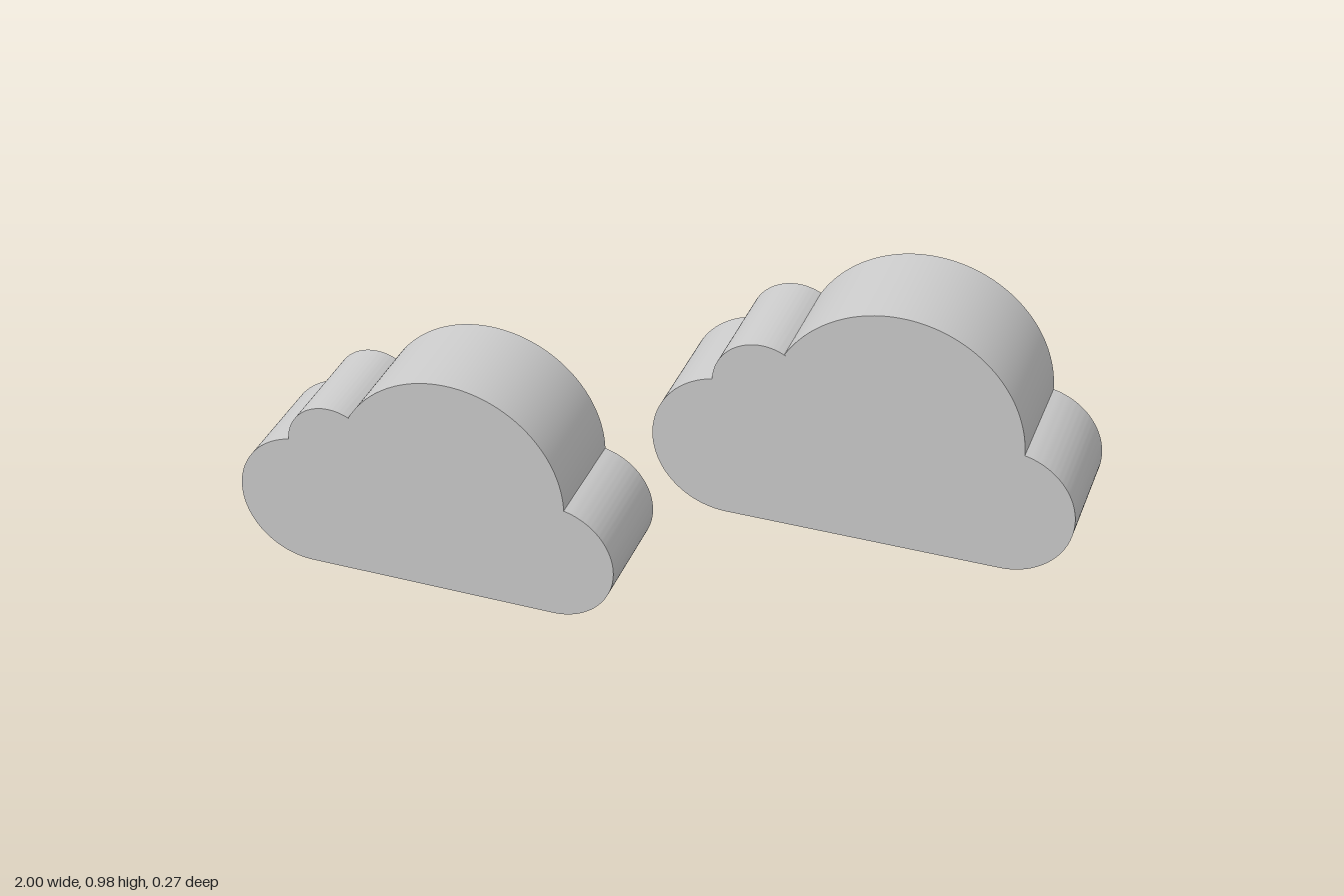
import * as THREE from 'three';
import { toCreasedNormals } from 'three/addons/utils/BufferGeometryUtils.js';

const DEPTH = 0.272;

// Outline puffs, counter-clockwise from the lower right: centre, radius
const PUFFS = [
  { x: 0.324, y: 0.154, r: 0.153 }, // right
  { x: 0.071, y: 0.297, r: 0.286 }, // crown
  { x: -0.228, y: 0.342, r: 0.11 }, // small
  { x: -0.301, y: 0.174, r: 0.174 }, // left
];
// Notches where neighbouring puffs meet
const NOTCHES = [[0.356, 0.304], [-0.173, 0.438], [-0.338, 0.344]];

function cloudShape() {
  const shape = new THREE.Shape();
  const angleTo = (p, [x, y]) => Math.atan2(y - p.y, x - p.x);
  PUFFS.forEach((p, i) => {
    const start = i === 0 ? -Math.PI / 2 : angleTo(p, NOTCHES[i - 1]);
    const end = i === PUFFS.length - 1 ? Math.PI * 1.5 : angleTo(p, NOTCHES[i]);
    shape.absarc(p.x, p.y, p.r, start, end, false);
  });
  shape.closePath();
  return shape;
}

export function createModel() {
  const group = new THREE.Group();
  group.name = 'cloudPair';

  // One thick slab with smooth rounded sides and sharp rims
  const slab = new THREE.ExtrudeGeometry(cloudShape(), {
    depth: DEPTH, bevelEnabled: false, curveSegments: 32,
  });
  slab.translate(0, 0, -DEPTH / 2);
  const geometry = toCreasedNormals(slab, 0.5);
  const material = new THREE.MeshStandardMaterial({ color: 0xcccccc });

  // Lower cloud on the right side, upper cloud on the left side
  for (const [name, x, y] of [['lowerCloud', -0.525, 0], ['upperCloud', 0.523, 0.398]]) {
    const cloud = new THREE.Mesh(geometry, material);
    cloud.name = name;
    cloud.position.set(x, y, 0);
    group.add(cloud);
  }
  return group;
}
